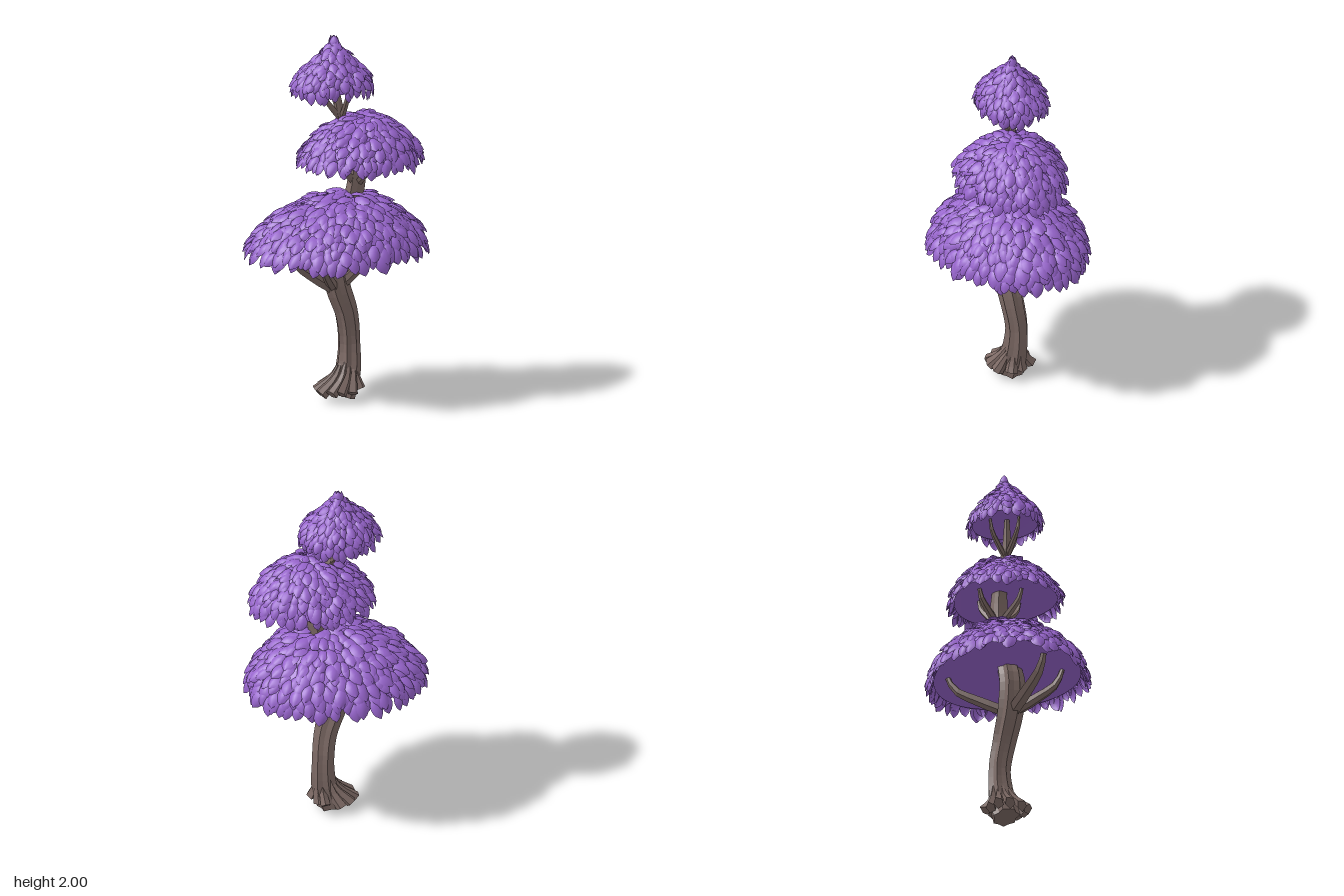
import * as THREE from 'three';
import { mergeGeometries } from 'three/addons/utils/BufferGeometryUtils.js';

const V = (x, y, z) => new THREE.Vector3(x, y, z);

let seed = 7;
function rnd() {
  seed = (seed * 16807) % 2147483647;
  return seed / 2147483647;
}
const jitter = (a) => (rnd() * 2 - 1) * a;

// Ridged, tapering, capped limb swept along a curve
function limb(points, radii, sides = 7, segments = 10, ridge = 0.15) {
  const curve = new THREE.CatmullRomCurve3(points.map((p) => V(...p)));
  const geo = new THREE.TubeGeometry(curve, segments, 1, sides);
  const pos = geo.attributes.position;
  const flute = Array.from({ length: sides }, (_, j) => 1 + (j % 2 ? ridge : -ridge) + jitter(ridge * 0.5));
  for (let i = 0; i <= segments; i++) {
    const centre = curve.getPointAt(i / segments);
    const u = THREE.MathUtils.clamp((i - 1) / (segments - 2), 0, 1);
    const target = curve.getPointAt(u);
    const f = u * (radii.length - 1);
    const k = Math.min(Math.floor(f), radii.length - 2);
    const cap = i === 0 || i === segments;
    const r = cap ? 0 : THREE.MathUtils.lerp(radii[k], radii[k + 1], f - k);
    for (let j = 0; j <= sides; j++) {
      const n = i * (sides + 1) + j;
      const p = V().fromBufferAttribute(pos, n).sub(centre).multiplyScalar(r * flute[j % sides]).add(target);
      pos.setXYZ(n, p.x, p.y, p.z);
    }
  }
  geo.computeVertexNormals();
  return geo;
}

// One domed, pointed leaf: root at the origin, tip along +y, face along +z
function makeLeaf() {
  const geo = new THREE.PlaneGeometry(1, 1, 4, 5);
  const pos = geo.attributes.position;
  const widths = [0.45, 0.88, 1, 0.94, 0.68, 0.06];
  for (let i = 0; i < pos.count; i++) {
    const v = pos.getY(i) + 0.5;
    const x = pos.getX(i);
    const bulge = 0.24 * (1 - 4 * x * x) * Math.sin(Math.PI * (0.15 + 0.8 * v));
    pos.setXYZ(i, x * widths[Math.round(v * 5)], v, bulge);
  }
  geo.computeVertexNormals();
  return geo;
}
const leaf = makeLeaf();

function placeLeaf(p, down, normal, length, width) {
  const d = down.clone().normalize();
  const x = V().crossVectors(d, normal).normalize();
  const n = V().crossVectors(x, d);
  const m = new THREE.Matrix4().makeBasis(x, d, n).scale(V(width, length, width)).setPosition(p);
  return leaf.clone().applyMatrix4(m);
}

// Canopy: dome with a shallow hollow underside, covered by overlapping rings of leaves
function makeCanopy({ name, centre, rx, rz, height, profile, rings, length, width, frontTaper = 0, sideTaper = 0, lean = 0, tuft = 0 }, material) {
  const group = new THREE.Group();
  group.name = name;
  group.position.set(...centre);
  const curve = new THREE.SplineCurve(profile.map(([r, h]) => new THREE.Vector2(r, h)));
  // Turns a round unit dome into an egg-shaped outline with an off-centre top
  const shape = (x, y, z) => V(x * (1 - frontTaper * z) * rx + lean * y, y * height, z * (1 - sideTaper * x) * rz);
  const at = (t, a) => {
    const q = curve.getPointAt(THREE.MathUtils.clamp(t, 0, 1));
    return shape(q.x * Math.cos(a), q.y, q.x * Math.sin(a));
  };

  const domePoints = curve.getSpacedPoints(14).reverse().map((p) => new THREE.Vector2(Math.max(p.x, 0), p.y));
  const hollowPoints = [[0, 0.15], [0.35, 0.13], [0.7, 0.08], [1, 0]].map((p) => new THREE.Vector2(...p));
  for (const [part, points] of [['Dome', domePoints], ['Underside', hollowPoints]]) {
    const geo = new THREE.LatheGeometry(points, 40);
    const pos = geo.attributes.position;
    for (let i = 0; i < pos.count; i++) {
      const p = shape(pos.getX(i), pos.getY(i), pos.getZ(i)).multiplyScalar(0.98);
      pos.setXYZ(i, p.x, p.y, p.z);
    }
    geo.computeVertexNormals();
    const shell = new THREE.Mesh(geo, material);
    shell.name = name + part;
    group.add(shell);
  }

  const leaves = [];
  for (let i = 0; i < rings; i++) {
    const t = 0.03 + 0.97 * (i / (rings - 1));
    const q = curve.getPointAt(t);
    const count = Math.max(5, Math.round((Math.PI * q.x * (rx + rz)) / (width * 0.76)));
    for (let j = 0; j < count; j++) {
      const a = ((j + 0.5 * (i % 2) + jitter(0.35)) / count) * Math.PI * 2;
      const tt = THREE.MathUtils.clamp(t + jitter(0.5 / rings), 0.02, 1);
      const p = at(tt, a);
      const end = Math.min(tt + 0.02, 1);
      const down = at(end, a).sub(at(end - 0.04, a)).normalize();
      const side = V(-Math.sin(a) * rx, 0, Math.cos(a) * rz).normalize();
      const normal = V().crossVectors(side, down).normalize();
      if (normal.dot(V(Math.cos(a), 0.6, Math.sin(a))) < 0) normal.negate();
      const dir = down.clone().addScaledVector(normal, 0.12 + jitter(0.18)).addScaledVector(side, jitter(0.35));
      p.addScaledVector(down, -length * 0.3).addScaledVector(normal, 0.004);
      const face = normal.clone().addScaledVector(side, jitter(0.3));
      const s = 1 + jitter(0.2);
      leaves.push(placeLeaf(p, dir, face, length * s, width * s));
    }
  }
  // Upright leaves at the very tip
  for (let j = 0; j < tuft; j++) {
    const a = (j / tuft) * Math.PI * 2;
    const out = V(Math.cos(a), 0, Math.sin(a));
    const p = out.clone().multiplyScalar(0.025).add(V(lean, height - 0.035, 0));
    leaves.push(placeLeaf(p, V(-out.x * 0.25 + jitter(0.15), 1, -out.z * 0.25 + jitter(0.15)), out, 0.075, 0.045));
  }
  const foliage = new THREE.Mesh(mergeGeometries(leaves), material);
  foliage.name = name + 'Leaves';
  group.add(foliage);
  return group;
}

export function createModel() {
  seed = 7;
  const bark = new THREE.MeshStandardMaterial({ color: 0x7d6a65, flatShading: true });
  bark.name = 'bark brown';
  const purple = new THREE.MeshStandardMaterial({ color: 0x9664cb, side: THREE.DoubleSide });
  purple.name = 'leaf purple';

  const tree = new THREE.Group();
  tree.name = 'tree';
  const add = (name, geo) => {
    const mesh = new THREE.Mesh(geo, bark);
    mesh.name = name;
    tree.add(mesh);
  };

  // Curved trunk, running up through all the canopies
  add('trunk', limb(
    [[0.01, 0.025, 0], [0.048, 0.15, -0.01], [0.058, 0.32, -0.018], [0.036, 0.48, 0], [-0.018, 0.64, 0.01], [-0.035, 0.8, 0.01], [0.02, 0.97, 0]],
    [0.068, 0.064, 0.054, 0.056, 0.062, 0.066, 0.062, 0.05], 14, 22, 0.1));
  add('upperTrunk', limb(
    [[0.03, 0.95, 0], [0.078, 1.12, 0.002], [0.098, 1.26, 0], [0.07, 1.44, 0], [0.008, 1.56, 0], [-0.02, 1.75, -0.01]],
    [0.05, 0.046, 0.042, 0.032, 0.023, 0.012], 9, 16, 0.12));

  // Flared roots around the foot
  for (let i = 0; i < 10; i++) {
    const a = ((i + 0.5) / 10) * Math.PI * 2 + jitter(0.1);
    const c = Math.cos(a), s = Math.sin(a);
    const reach = 0.113 + jitter(0.012);
    add('root', limb(
      [[0.053 + c * 0.04, 0.22 + jitter(0.03), -0.01 + s * 0.04], [0.03 + c * 0.062, 0.13, s * 0.066], [-0.01 + c * reach, 0.055 + c * 0.008 + jitter(0.01), s * reach]],
      [0.006, 0.022, 0.032], 5, 7, 0.15));
  }

  // Branches: fork point, tip and thickness
  const branches = [
    [[-0.03, 0.62, 0.01], [0.19, 0.86, -0.25], 0.03],
    [[-0.03, 0.62, 0.01], [-0.16, 0.85, 0.24], 0.03],
    [[-0.03, 0.62, 0.01], [-0.29, 0.86, 0.07], 0.034],
    [[-0.02, 0.62, 0.01], [0.14, 0.86, 0.1], 0.028],
    [[0.095, 1.18, 0], [-0.03, 1.36, 0.07], 0.02],
    [[0.095, 1.18, 0], [0.21, 1.36, -0.06], 0.02],
    [[0.095, 1.18, 0], [0.14, 1.36, 0.14], 0.02],
    [[0.095, 1.18, 0], [0.06, 1.36, -0.13], 0.02],
    [[0.01, 1.54, 0], [-0.1, 1.73, 0.02], 0.015],
    [[0.01, 1.54, 0], [0.03, 1.73, 0.07], 0.015],
    [[0.01, 1.54, 0], [-0.01, 1.73, -0.1], 0.015],
  ];
  for (const [from, to, r] of branches) {
    const mix = (k, l) => [from[0] + (to[0] - from[0]) * k, from[1] + (to[1] - from[1]) * l, from[2] + (to[2] - from[2]) * k];
    add('branch', limb([from, mix(0.48, 0.35), mix(0.9, 0.71), mix(1.04, 1.1)], [r, r, r * 0.8, r * 0.4], 6, 9, 0.12));
  }

  // Three tiers of foliage
  const wideDome = [[0, 1], [0.3, 0.91], [0.62, 0.66], [0.86, 0.35], [0.96, 0.14], [1, 0]];
  const dome = [[0, 1], [0.3, 0.92], [0.61, 0.67], [0.85, 0.35], [0.96, 0.13], [1, 0]];
  const cone = [[0, 1], [0.16, 0.88], [0.42, 0.66], [0.82, 0.33], [0.98, 0.12], [1, 0]];
  [
    { name: 'lowerCanopy', centre: [-0.005, 0.845, 0], rx: 0.46, rz: 0.385, height: 0.287, profile: wideDome, rings: 14, length: 0.092, width: 0.068, frontTaper: 0.1, sideTaper: 0.06, lean: 0.035 },
    { name: 'middleCanopy', centre: [0.11, 1.335, 0.03], rx: 0.315, rz: 0.272, height: 0.23, profile: dome, rings: 12, length: 0.078, width: 0.054, sideTaper: 0.15, lean: 0.02 },
    { name: 'topCanopy', centre: [-0.028, 1.715, -0.025], rx: 0.2, rz: 0.173, height: 0.245, profile: cone, rings: 11, length: 0.068, width: 0.046, lean: 0.008, tuft: 5 },
  ].forEach((spec) => tree.add(makeCanopy(spec, purple)));

  return tree;
}
